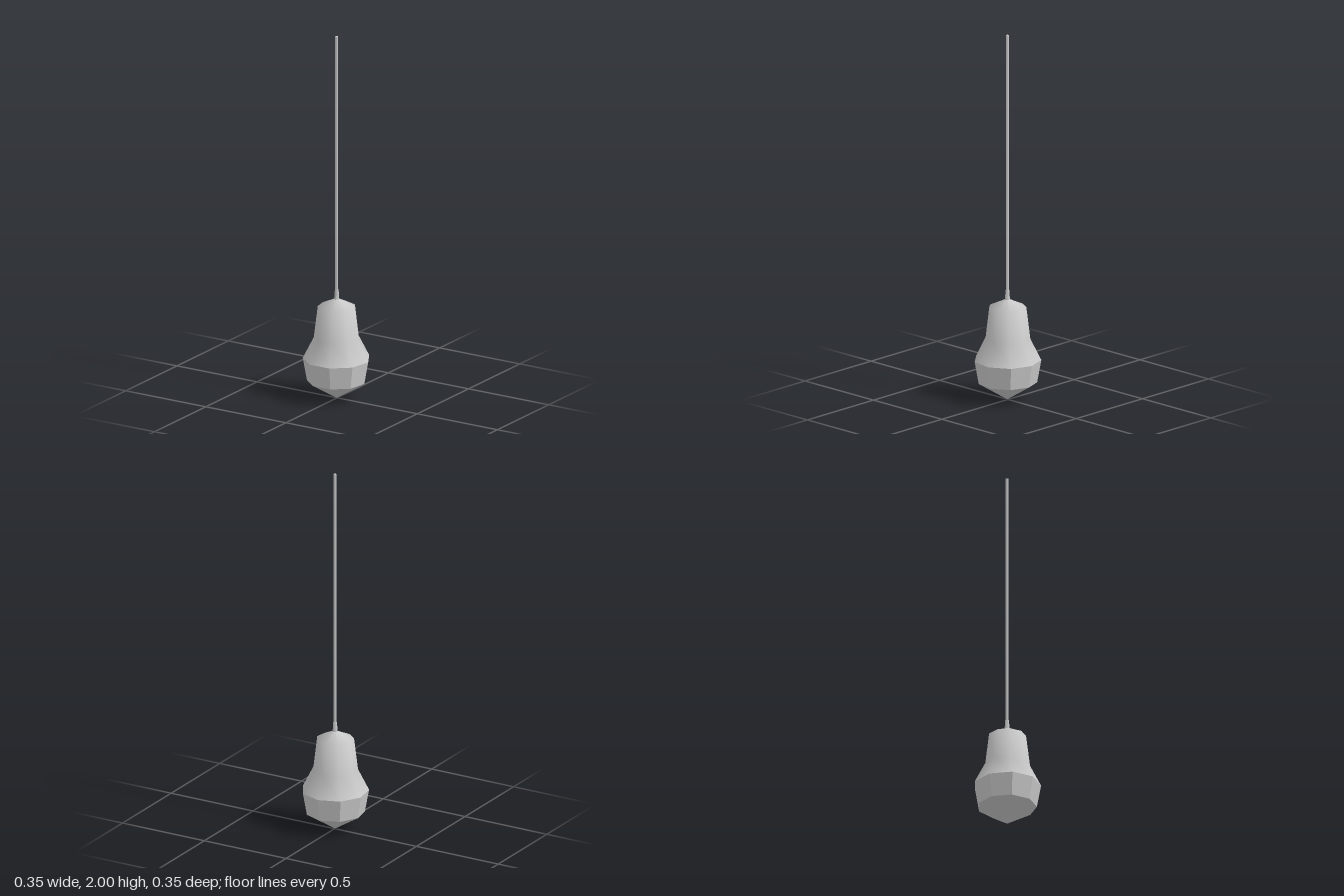
import * as THREE from 'three';

const SIDES = 9;

// Nine-sided turned shell from [radius, height] pairs, listed bottom to top, with a corner facing back
function turned(name, profile, flatShading = false) {
  const points = profile.map(([r, y]) => new THREE.Vector2(r, y));
  const geometry = new THREE.LatheGeometry(points, SIDES, Math.PI);
  const material = new THREE.MeshStandardMaterial({ color: 0xcccccc, flatShading });
  const mesh = new THREE.Mesh(geometry, material);
  mesh.name = name;
  return mesh;
}

export function createModel() {
  const lamp = new THREE.Group();
  lamp.name = 'pendantLamp';

  // Smooth bell-shaped housing with a shallow conical cap
  lamp.add(turned('housing', [[0.179, 0.22], [0.121, 0.335], [0.1, 0.508], [0, 0.555]]));

  // Faceted band around the widest part
  lamp.add(turned('facetedBand', [[0.157, 0.097], [0.179, 0.22]], true));

  // Smooth pointed underside
  lamp.add(turned('lowerCone', [[0, 0], [0.157, 0.097]]));

  // Tapered cord grip and the long hanging cord
  lamp.add(turned('cordGrip', [[0.014, 0.545], [0.01, 0.6], [0, 0.6]], true));
  lamp.add(turned('cord', [[0.008, 0.59], [0.008, 2], [0, 2]], true));

  // The odd-sided outline is centred by its extents
  lamp.children.forEach((part) => { part.position.z = 0.004; });
  return lamp;
}
